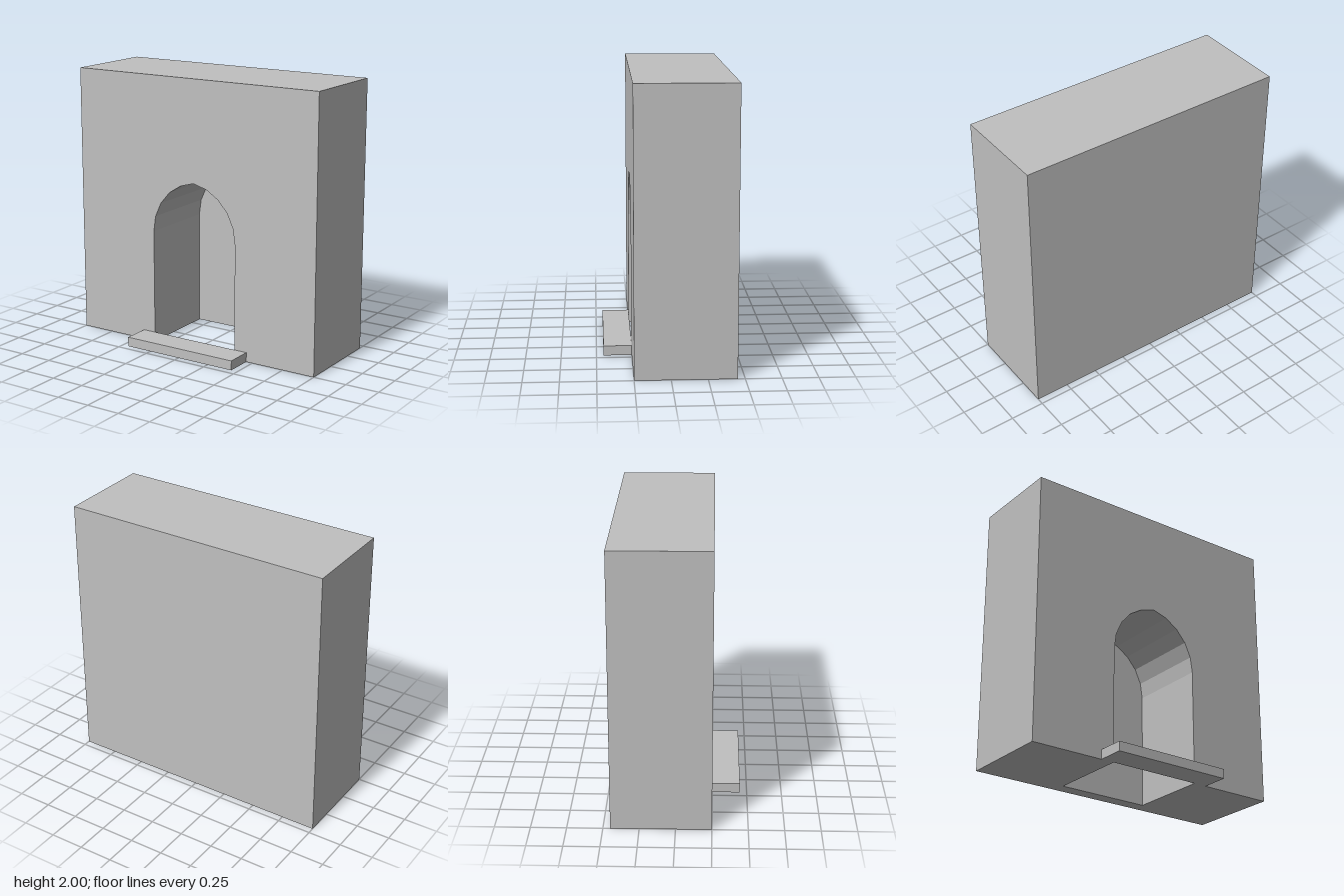
import * as THREE from 'three';

const WIDTH = 2, HEIGHT = 2, FRONT = 0.25, BACK = -0.45, BACK_WALL = 0.1;
const DOOR_HALF = 0.35, SPRING = 0.85, APEX = 1.25, ARC_STEPS = 5;

// Right half of the pointed arch, from the springing line up to the apex
function archSide() {
  const rise = APEX - SPRING;
  const radius = (DOOR_HALF ** 2 + rise ** 2) / (2 * DOOR_HALF);
  const centre = DOOR_HALF - radius;
  const sweep = Math.atan2(rise, -centre);
  return Array.from({ length: ARC_STEPS + 1 }, (_, i) => {
    const a = (sweep * i) / ARC_STEPS;
    return new THREE.Vector2(centre + radius * Math.cos(a), SPRING + radius * Math.sin(a));
  });
}

export function createModel() {
  const model = new THREE.Group();
  model.name = 'archedNiche';
  const stone = new THREE.MeshStandardMaterial({ color: 0xc0c0c0 });
  stone.name = 'greyStone';

  const add = (name, geometry, x, y, z) => {
    const mesh = new THREE.Mesh(geometry, stone);
    mesh.name = name;
    mesh.position.set(x, y, z);
    model.add(mesh);
  };

  // Thick wall with a doorway cut up from the ground
  const right = archSide();
  const left = right.slice(0, -1).reverse().map((p) => new THREE.Vector2(-p.x, p.y));
  const outline = new THREE.Shape([
    new THREE.Vector2(-WIDTH / 2, 0),
    new THREE.Vector2(-DOOR_HALF, 0),
    ...[...right, ...left].reverse(),
    new THREE.Vector2(DOOR_HALF, 0),
    new THREE.Vector2(WIDTH / 2, 0),
    new THREE.Vector2(WIDTH / 2, HEIGHT),
    new THREE.Vector2(-WIDTH / 2, HEIGHT),
  ]);
  const nicheDepth = FRONT - BACK - BACK_WALL;
  add('archedWall', new THREE.ExtrudeGeometry(outline, { depth: nicheDepth, bevelEnabled: false }),
    0, 0, BACK + BACK_WALL);

  // Solid wall closing the back of the niche
  add('backWall', new THREE.BoxGeometry(WIDTH, HEIGHT, BACK_WALL), 0, HEIGHT / 2, BACK + BACK_WALL / 2);

  // Low step in front of the doorway
  add('doorStep', new THREE.BoxGeometry(0.9, 0.07, 0.2), 0, 0.035, FRONT + 0.1);

  return model;
}
